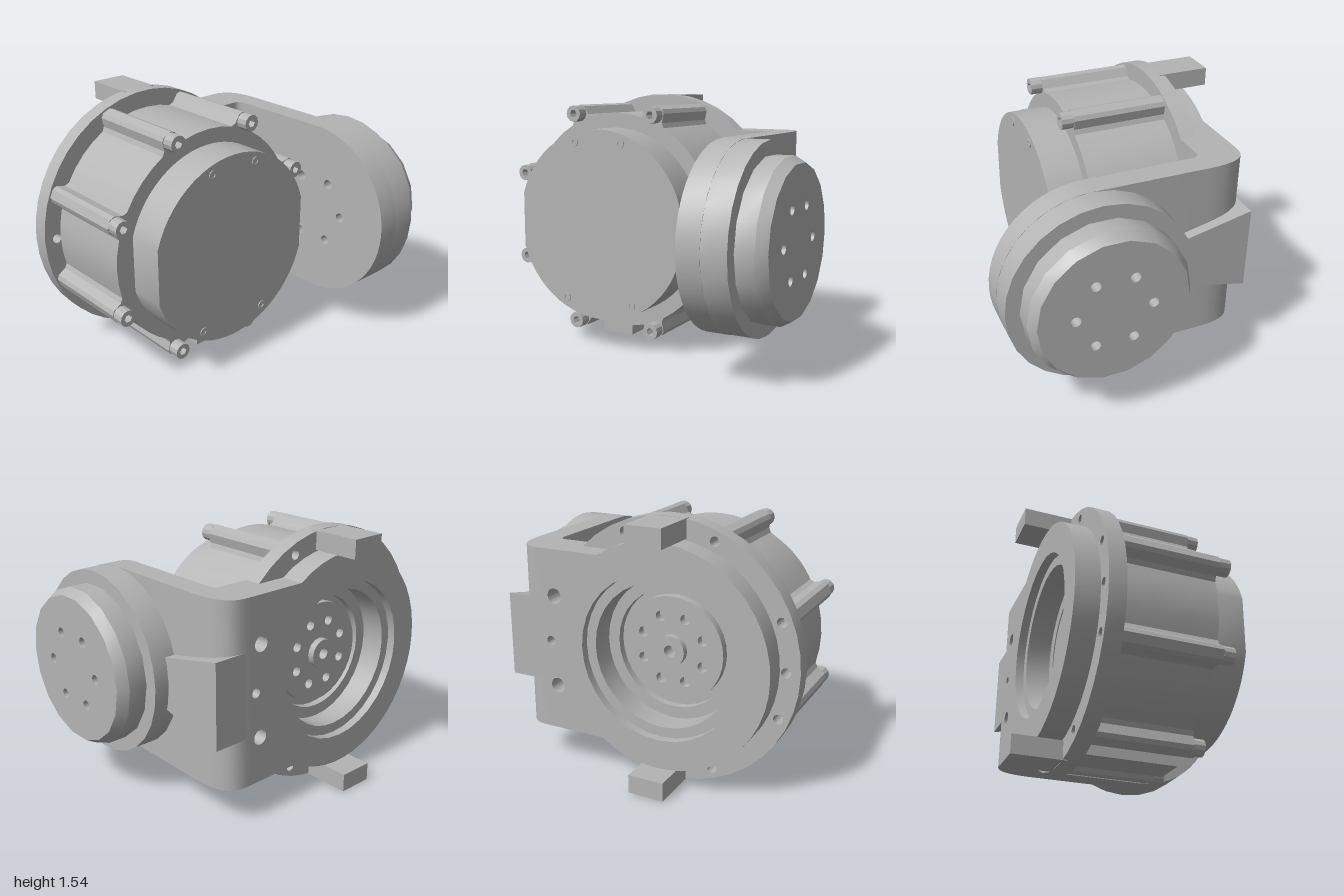
import * as THREE from 'three';
import { toCreasedNormals } from 'three/addons/utils/BufferGeometryUtils.js';

const CX = -0.23, CY = 0.775;   // main axis (runs along z)
const BZ = 0.27;                // side joint axis (runs along x)
const HALF = 0.545;             // half height of the arm

export function createModel() {
  const model = new THREE.Group();
  const metal = new THREE.MeshStandardMaterial({ color: 0xb4b4b4 });
  metal.name = 'grey metal';

  const add = (name, geo) => {
    const mesh = new THREE.Mesh(toCreasedNormals(geo, 0.5), metal);
    mesh.name = name;
    model.add(mesh);
    return mesh;
  };
  const extrude = (shape, depth, seg) =>
    new THREE.ExtrudeGeometry(shape, { depth, bevelEnabled: false, curveSegments: seg });
  // Extrusion along z, shape centred on the main axis
  const alongZ = (name, shape, z0, z1, seg = 16) =>
    add(name, extrude(shape, z1 - z0, seg).translate(CX, CY, z0));
  // Extrusion along x, shape centred on the side joint axis (shape x = -z)
  const alongX = (name, shape, x0, x1, seg = 14) =>
    add(name, extrude(shape, x1 - x0, seg).rotateY(Math.PI / 2).translate(x0, CY, BZ));

  const circle = (x, y, r) => new THREE.Shape().absarc(x, y, r, 0, Math.PI * 2, false);
  const hole = (shape, x, y, r) =>
    shape.holes.push(new THREE.Path().absarc(x, y, r, 0, Math.PI * 2, true));
  const polar = (r, n, start = 0) => Array.from({ length: n }, (_, i) => {
    const a = start + (i / n) * Math.PI * 2;
    return [r * Math.cos(a), r * Math.sin(a)];
  });
  const bolts = polar(0.71, 8, Math.PI / 8);

  // Housing with eight bolt ridges
  const outline = [];
  for (let i = 0; i < 8; i++) {
    const c = Math.PI / 8 + (i * Math.PI) / 4;
    const rule = [[-0.12, 0.665], [-0.085, 0.685], [-0.065, 0.74], [-0.035, 0.758], [0.035, 0.758],
      [0.065, 0.74], [0.085, 0.685], [0.12, 0.665], [0.25, 0.665], [0.39, 0.665], [0.53, 0.665]];
    for (const [da, r] of rule) {
      outline.push(new THREE.Vector2(r * Math.cos(c + da), r * Math.sin(c + da)));
    }
  }
  alongZ('housing', new THREE.Shape(outline), -0.43, 0.14);
  add('housingFoot', new THREE.BoxGeometry(0.21, 0.08, 0.57).translate(CX, 0.1, -0.145));

  // Front cover: a disc with two flattened sides
  const flat = Math.acos(0.55 / 0.575);
  const cover = new THREE.Shape();
  cover.absarc(0, 0, 0.575, flat, Math.PI - flat, false);
  cover.absarc(0, 0, 0.575, Math.PI + flat, Math.PI * 2 - flat, false);
  cover.closePath();
  alongZ('frontCover', cover, 0.14, 0.36, 12);

  // Socket head screws
  const screw = (name, x, y, r, z0, z1) => {
    const head = circle(x, y, r);
    head.holes.push(new THREE.Path(polar(r * 0.5, 6).reverse()
      .map(([u, v]) => new THREE.Vector2(x + u, y + v))));
    alongZ(name, head, z0, z1, 6);
  };
  for (const [x, y] of bolts) screw('housingScrew', x, y, 0.05, 0.14, 0.21);
  for (const [x, y] of [[-0.16, 0.495], [0.16, 0.495], [-0.235, -0.465], [0.23, -0.465]]) {
    screw('coverScrew', x, y, 0.028, 0.355, 0.366);
  }

  // Flange and rear plate: a round part running into the arm
  const plate = (r) => {
    const a = Math.asin(HALF / r);
    const s = new THREE.Shape();
    s.moveTo(0.73, -HALF);
    s.lineTo(0.73, HALF);
    s.absarc(0, 0, r, a, Math.PI * 2 - a, false);
    s.closePath();
    hole(s, 0, 0, 0.48);
    return s;
  };
  const flange = plate(0.77);
  bolts.forEach(([x, y]) => hole(flange, x, y, 0.028));
  hole(flange, 0.69, 0, 0.028);
  hole(flange, -0.69, 0, 0.028);
  alongZ('flange', flange, -0.53, -0.43);
  const rear = plate(0.655);
  for (const s of [-1, 1]) hole(rear, 0.656, s * 0.272, 0.045);
  hole(rear, 0.69, 0, 0.028);
  alongZ('rearPlate', rear, -0.67, -0.53);

  // Rear tabs
  for (const s of [-1, 1]) {
    add('rearTab', new THREE.BoxGeometry(0.215, 0.11, 0.315)
      .translate(CX, CY + s * 0.71, -0.6575));
  }

  // Bore lining, output disc and hub
  const lining = circle(0, 0, 0.481);
  hole(lining, 0, 0, 0.42);
  alongZ('boreLining', lining, -0.62, -0.43);
  const step = circle(0, 0, 0.421);
  hole(step, 0, 0, 0.35);
  alongZ('boreStep', step, -0.475, -0.43);
  const disc = circle(0, 0, 0.31);
  polar(0.2, 8, Math.PI / 8).forEach(([x, y]) => hole(disc, x, y, 0.03));
  hole(disc, 0, 0, 0.06);
  alongZ('outputDisc', disc, -0.48, -0.43);
  const hub = circle(0, 0, 0.09);
  hole(hub, 0, 0, 0.035);
  alongZ('outputHub', hub, -0.52, -0.43, 8);

  // Arm: rounded corner profile (x, -z) raised to full height
  const arm = new THREE.Shape();
  arm.moveTo(0.5, 0.43);
  arm.quadraticCurveTo(0.54, 0.43, 0.54, 0.38);
  arm.lineTo(0.54, 0);
  arm.lineTo(0.68, 0);
  arm.lineTo(0.68, 0.42);
  arm.bezierCurveTo(0.68, 0.58, 0.64, 0.67, 0.53, 0.67);
  arm.lineTo(0.5, 0.67);
  arm.closePath();
  add('arm', extrude(arm, HALF * 2, 8).rotateX(-Math.PI / 2).translate(0, CY - HALF, 0));

  // Tapered rib behind the arm corner
  const rib = new THREE.Shape([[0.5, -0.15], [0.94, -0.25], [0.94, 0.25], [0.5, 0.15]]
    .map(([u, v]) => new THREE.Vector2(u, v)));
  alongX('armRib', rib, 0.51, 0.74);

  // Side joint with through holes
  const drill = (shape) => {
    polar(0.22, 6).forEach(([u, v]) => hole(shape, u, v, 0.03));
    return shape;
  };
  const armEnd = new THREE.Shape();
  armEnd.moveTo(BZ, -HALF);
  armEnd.lineTo(BZ, HALF);
  armEnd.absarc(0, 0, HALF, Math.PI / 2, Math.PI * 1.5, false);
  armEnd.closePath();
  alongX('armEnd', drill(armEnd), 0.54, 0.68);
  alongX('sideJoint', drill(circle(0, 0, HALF)), 0.68, 0.83);
  alongX('jointFace', drill(circle(0, 0, 0.43)), 0.83, 1, 9);
  const rim = [[0.43, 0.83], [0.465, 0.83], [0.465, 0.94], [0.43, 1]];
  add('jointRim', new THREE.LatheGeometry(rim.map(([r, x]) => new THREE.Vector2(r, x)), 18)
    .rotateZ(-Math.PI / 2).translate(0, CY, BZ));

  return model;
}
